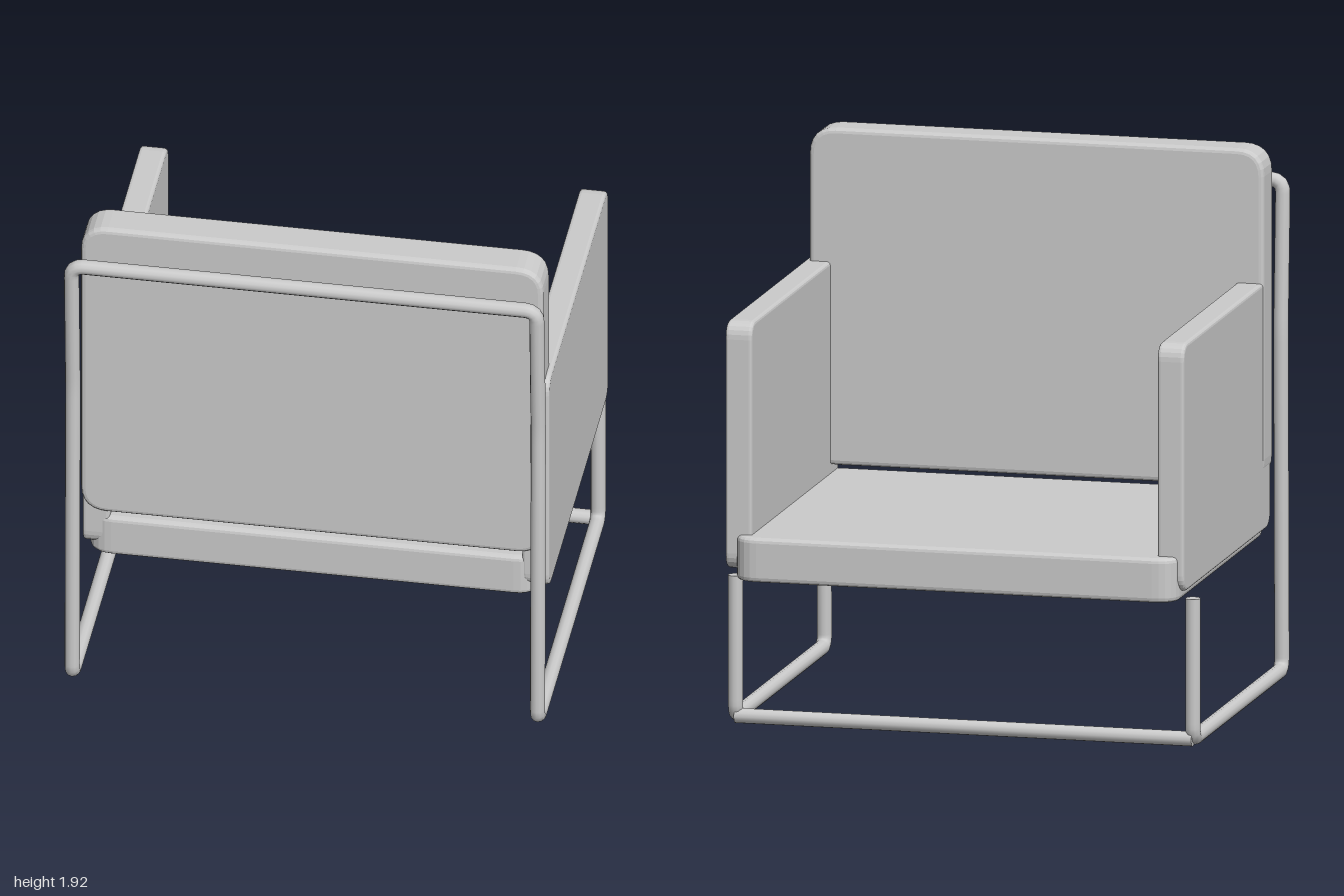
import * as THREE from 'three';

const material = new THREE.MeshStandardMaterial({ color: 0xcccccc, side: THREE.DoubleSide });
const v = (x, y, z) => new THREE.Vector3(x, y, z);

// Path through the points, each inner corner replaced by a bend
function bentPath(points, bend) {
  const path = new THREE.CurvePath();
  let start = points[0];
  for (let i = 1; i < points.length - 1; i++) {
    const p = points[i];
    const into = p.clone().add(points[i - 1].clone().sub(p).setLength(bend));
    const out = p.clone().add(points[i + 1].clone().sub(p).setLength(bend));
    path.add(new THREE.LineCurve3(start, into));
    path.add(new THREE.QuadraticBezierCurve3(into, p, out));
    start = out;
  }
  path.add(new THREE.LineCurve3(start, points[points.length - 1]));
  return path;
}

// Slab with rounded outline (w by h) and softened rims, centred on the origin, thickness along z
function cushionGeometry(w, h, thickness, radius, bevel) {
  const a = w / 2 - bevel, b = h / 2 - bevel, r = radius;
  const s = new THREE.Shape();
  s.moveTo(-a + r, -b);
  s.lineTo(a - r, -b);
  s.quadraticCurveTo(a, -b, a, -b + r);
  s.lineTo(a, b - r);
  s.quadraticCurveTo(a, b, a - r, b);
  s.lineTo(-a + r, b);
  s.quadraticCurveTo(-a, b, -a, b - r);
  s.lineTo(-a, -b + r);
  s.quadraticCurveTo(-a, -b, -a + r, -b);
  const g = new THREE.ExtrudeGeometry(s, {
    depth: thickness - 2 * bevel, bevelThickness: bevel, bevelSize: bevel,
    bevelSegments: 3, curveSegments: 6,
  });
  return g.translate(0, 0, bevel - thickness / 2);
}

export function createModel() {
  const chair = new THREE.Group();
  chair.name = 'armchair';
  const add = (name, geometry, x = 0, y = 0, z = 0) => {
    const mesh = new THREE.Mesh(geometry, material);
    mesh.name = name;
    mesh.position.set(x, y, z);
    chair.add(mesh);
    return mesh;
  };

  // Tubular frame: front leg, floor rail, back post, top rail and mirrored back down
  const R = 0.027, X = 0.83, Z = 0.63;
  const side = [
    [0.53, -Z], [R, -Z], [R, Z], [1.25, 0.615], [1.78, 0.645],
  ];
  const points = [
    ...side.map(([y, z]) => v(-X, y, z)),
    ...side.slice().reverse().map(([y, z]) => v(X, y, z)),
  ];
  add('tubeFrame', new THREE.TubeGeometry(bentPath(points, 0.045), 500, R, 12));
  for (const s of [-1, 1]) {
    add('legCap', new THREE.CylinderGeometry(R, R, 0.004, 12), s * X, 0.53, -Z);
  }
  add('frontFloorRail',
    new THREE.CylinderGeometry(R, R, 2 * X, 12).rotateZ(Math.PI / 2), 0, R, -Z);

  // Seat cushion, lying flat
  add('seat',
    cushionGeometry(1.61, 1.29, 0.16, 0.07, 0.018).rotateX(-Math.PI / 2), 0.02, 0.6, -0.055);

  // Back cushion
  add('backrest', cushionGeometry(1.65, 1.21, 0.14, 0.08, 0.018), 0.02, 1.315, 0.535);

  // Arm panels
  for (const [name, x] of [['leftArm', 0.815], ['rightArm', -0.753]]) {
    add(name,
      cushionGeometry(1.235, 0.89, 0.097, 0.05, 0.012).rotateY(Math.PI / 2), x, 0.995, -0.032);
  }

  // The chair stands turned on the floor
  chair.rotation.y = THREE.MathUtils.degToRad(16);
  const model = new THREE.Group();
  model.name = 'model';
  model.add(chair);
  return model;
}
